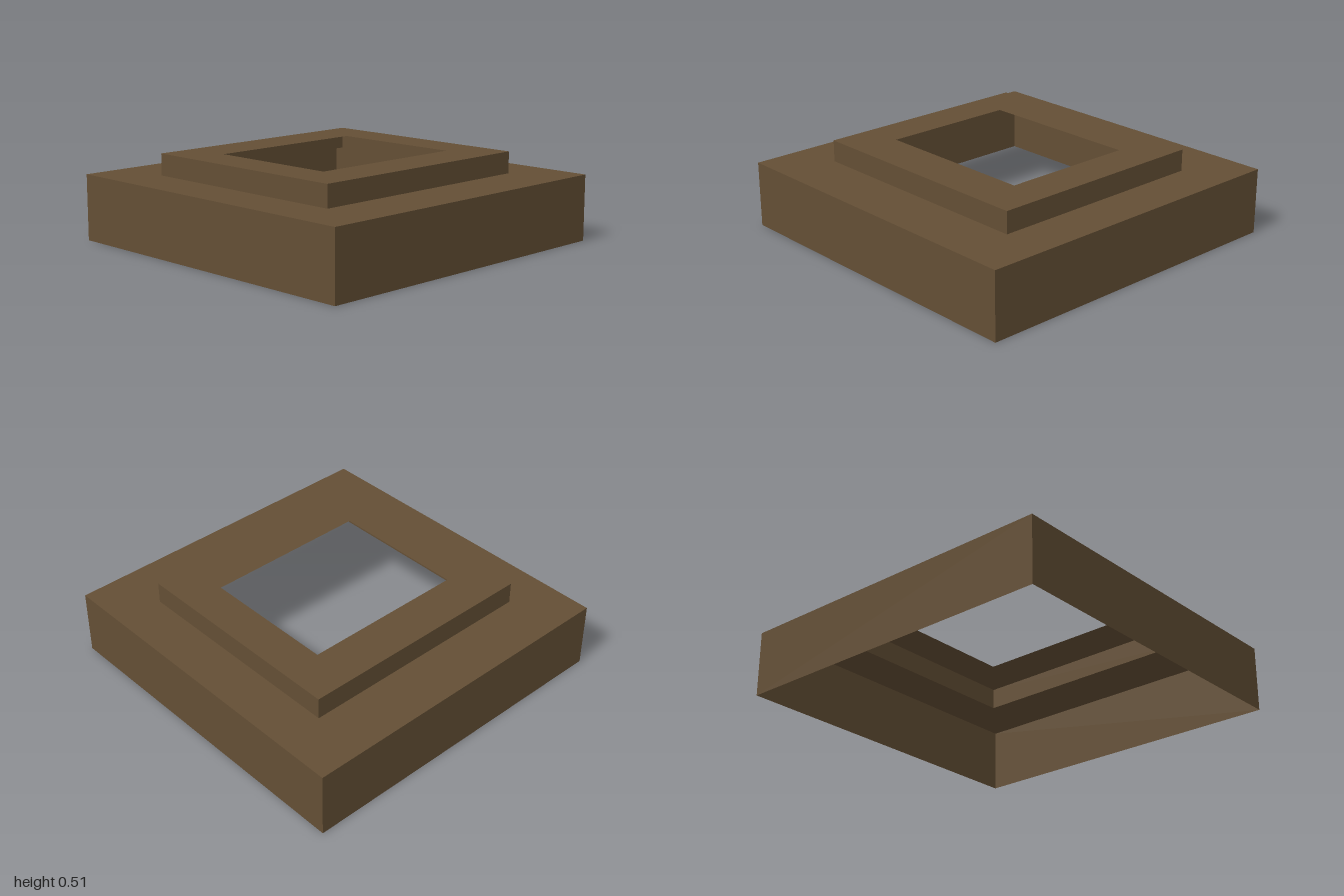
import * as THREE from 'three';

// Four flat quads joining one rectangular outline to the next.
// An outline is [half width in x, half depth in z, height y].
function band(from, to) {
  const corners = [[-1, 1], [1, 1], [1, -1], [-1, -1]];
  const point = ([w, d, y], i) => {
    const [sx, sz] = corners[i % 4];
    return [sx * w, y, sz * d];
  };
  const pos = [];
  for (let i = 0; i < 4; i++) {
    const a = point(from, i), b = point(from, i + 1);
    const c = point(to, i + 1), d = point(to, i);
    pos.push(...a, ...b, ...c, ...a, ...c, ...d);
  }
  const geo = new THREE.BufferGeometry();
  geo.setAttribute('position', new THREE.Float32BufferAttribute(pos, 3));
  geo.computeVertexNormals();
  return geo;
}

export function createModel() {
  const group = new THREE.Group();
  group.name = 'steppedFrame';
  const brown = new THREE.MeshStandardMaterial({ color: 0x644f35, side: THREE.DoubleSide });
  brown.name = 'brown';

  // Hollow thin shell, open below and through the middle
  const outlines = [
    [1, 1, 0],
    [1, 1, 0.384],
    [0.723, 0.667, 0.384],
    [0.723, 0.667, 0.51],
    [0.49, 0.4, 0.51],
  ];
  const names = ['baseWalls', 'baseLedge', 'collarWalls', 'collarRim'];
  names.forEach((name, i) => {
    const mesh = new THREE.Mesh(band(outlines[i], outlines[i + 1]), brown);
    mesh.name = name;
    group.add(mesh);
  });
  return group;
}
